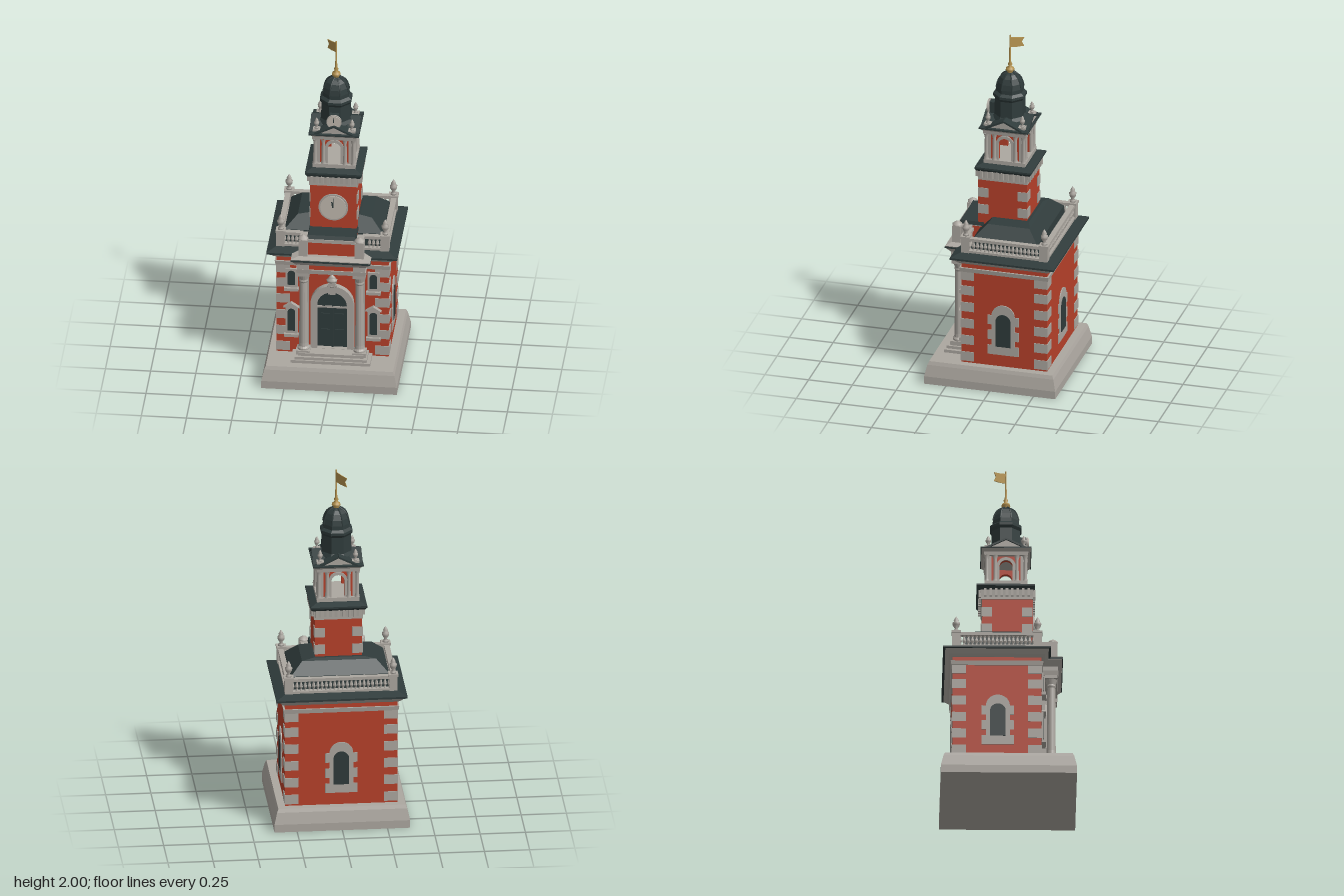
import * as THREE from 'three';

const mat = (name, color, side = THREE.FrontSide) => {
  const m = new THREE.MeshStandardMaterial({ color, side });
  m.name = name;
  return m;
};

export function createModel() {
  const brick = mat('brick', 0xb8412a), stone = mat('stone', 0xaca7a0), slate = mat('slate', 0x2f3b3b);
  const gold = mat('gold', 0xb5934f, THREE.DoubleSide), dial = mat('dial', 0xc2bab0);
  const root = new THREE.Group();
  root.name = 'clockTower';

  const part = (name, geo, m, x = 0, y = 0, z = 0, parent = root) => {
    const mesh = new THREE.Mesh(geo, m);
    mesh.name = name;
    mesh.position.set(x, y, z);
    parent.add(mesh);
    return mesh;
  };
  // box given by centre x, bottom y, top y, centre z
  const box = (name, m, w, y0, y1, d, x = 0, z = 0, parent = root) =>
    part(name, new THREE.BoxGeometry(w, y1 - y0, d), m, x, (y0 + y1) / 2, z, parent);
  const group = (name, x = 0, y = 0, z = 0, parent = root) => {
    const g = new THREE.Group();
    g.name = name;
    g.position.set(x, y, z);
    parent.add(g);
    return g;
  };
  // rectangular cross-sections [y, halfX, zBack, zFront] joined into a solid
  const stack = (name, m, rows) => {
    const p = [];
    const ring = rows.map(([y, h, b, f]) => [[h, y, f], [h, y, b], [-h, y, b], [-h, y, f]]);
    const quad = (a, b, c, d) => p.push(...a, ...b, ...c, ...a, ...c, ...d);
    for (let i = 0; i < ring.length - 1; i++)
      for (let k = 0; k < 4; k++) {
        const n = (k + 1) % 4;
        quad(ring[i][k], ring[i][n], ring[i + 1][n], ring[i + 1][k]);
      }
    const t = ring[ring.length - 1], u = ring[0];
    quad(t[0], t[1], t[2], t[3]);
    quad(u[3], u[2], u[1], u[0]);
    const g = new THREE.BufferGeometry();
    g.setAttribute('position', new THREE.Float32BufferAttribute(p, 3));
    g.computeVertexNormals();
    return part(name, g, m);
  };
  const lathe = (pts, n = 12, start = 0) =>
    new THREE.LatheGeometry(pts.map(([r, y]) => new THREE.Vector2(r, y)), n, start);
  const faceted = (g) => { const f = g.toNonIndexed(); f.computeVertexNormals(); return f; };
  const trace = (s, hw, y0, top) => {
    s.moveTo(-hw, y0); s.lineTo(hw, y0); s.lineTo(hw, top - hw);
    s.absarc(0, top - hw, hw, 0, Math.PI, false);
    s.lineTo(-hw, y0);
    return s;
  };
  const arch = (hw, y0, top) => trace(new THREE.Shape(), hw, y0, top);
  const rect = (hw, y0, y1) => new THREE.Shape([[-hw, y0], [hw, y0], [hw, y1], [-hw, y1]].map(q => new THREE.Vector2(...q)));
  const cut = (s, hw, y0, top) => { s.holes.push(trace(new THREE.Path(), hw, y0, top)); return s; };
  const slab = (s, depth) => new THREE.ExtrudeGeometry(s, { depth, bevelEnabled: false, curveSegments: 12 });
  const triangle = (hw, y0, y1) => new THREE.Shape([new THREE.Vector2(-hw, y0), new THREE.Vector2(hw, y0), new THREE.Vector2(0, y1)]);

  const urnGeo = lathe([[0, 0], [.018, 0], [.016, .012], [.007, .02], [.02, .042], [.022, .058], [.012, .066], [.015, .074], [.007, .09], [0, .1]], 10);
  const urn = (x, y, z, s = 1) => part('urn', urnGeo, stone, x, y, z).scale.setScalar(s);
  const quoins = (hx, zb, zf, ys, h, size) => {
    for (const y of ys) for (const sx of [-1, 1]) for (const front of [0, 1])
      box('quoin', stone, size, y, y + h, size, sx * (hx - size / 2 + .004),
        front ? zf - size / 2 + .004 : zb + size / 2 - .004);
  };

  // plinth and brick body
  stack('plinth', stone, [[0, .375, -.375, .375], [.045, .375, -.375, .375], [.11, .36, -.36, .36], [.13, .352, -.352, .352]]);
  stack('body', brick, [[.13, .31, -.31, .18], [.74, .31, -.31, .18]]);
  quoins(.31, -.31, .18, [.14, .24, .34, .44, .54, .63], .055, .078);
  stack('band', stone, [[.68, .316, -.316, .186], [.705, .32, -.32, .19]]);
  stack('cornice', stone, [[.73, .315, -.315, .185], [.742, .33, -.33, .2], [.765, .35, -.35, .22]]);
  stack('eaves', slate, [[.765, .362, -.362, .232], [.776, .362, -.362, .232], [.795, .31, -.31, .18]]);

  // arched windows with blocked surrounds on both sides and the back
  [[.31, -.06, Math.PI / 2], [-.31, -.06, -Math.PI / 2], [0, -.31, Math.PI]].forEach(([x, z, r]) => {
    const g = group('archedWindow', x, 0, z);
    g.rotation.y = r;
    part('surround', slab(arch(.066, .2, .5), .006), stone, 0, 0, 0, g);
    for (const y of [.2, .29, .38]) box('surroundBlock', stone, .178, y, y + .055, .01, 0, 0, g);
    part('pane', slab(arch(.043, .25, .445), .009), slate, 0, 0, 0, g);
  });

  // narrow front windows
  for (const sx of [-1, 1]) {
    const g = group('frontWindows', sx * .227, 0, .18);
    for (const [y0, y1] of [[.25, .42], [.54, .66]]) {
      part('frame', slab(rect(.034, y0, y1), .012), stone, 0, 0, 0, g);
      part('pane', slab(arch(.021, y0 + .02, y1 - .012), .015), slate, 0, 0, 0, g);
      box('sill', stone, .08, y0 - .015, y0 + .003, .03, 0, .01, g);
    }
    part('windowPediment', slab(triangle(.045, .42, .45), .025), stone, 0, 0, 0, g);
  }

  // entrance steps, door and arch
  box('step', stone, .44, .13, .147, .14, 0, .235);
  box('step', stone, .4, .147, .163, .12, 0, .235);
  box('step', stone, .36, .163, .18, .11, 0, .225);
  part('doorArch', slab(cut(arch(.12, .18, .575), .082, .181, .535), .035), stone, 0, 0, .18);
  part('door', slab(arch(.083, .18, .536), .008), slate, 0, 0, .18);
  box('doorRail', stone, .166, .425, .437, .006, 0, .189);
  for (const sx of [-1, 1]) for (const y of [.21, .31])
    box('doorPanel', slate, .05, y, y + .08, .008, sx * .038, .19);
  box('doorSplit', slate, .01, .18, .425, .012, 0, .19);
  for (const a of [-.045, 0, .045]) box('fanBar', slate, .006, .437, .52, .012, a, .188);
  box('keystone', stone, .04, .53, .6, .05, 0, .205);
  part('crest', urnGeo, stone, 0, .575, .215).scale.set(1.4, .75, 1);

  // portico columns and pilasters
  const column = lathe([[0, .18], [.034, .18], [.034, .2], [.027, .21], [.025, .23], [.022, .61], [.026, .62], [.024, .63], [.035, .668], [.035, .68], [0, .68]], 16);
  for (const sx of [-1, 1]) {
    part('column', faceted(column), stone, sx * .155, 0, .236);
    box('columnBase', stone, .075, .165, .19, .075, sx * .155, .236);
    box('capital', stone, .07, .66, .682, .07, sx * .155, .236);
    box('pilaster', stone, .05, .17, .68, .03, sx * .155, .185);
    box('friezeBlock', stone, .065, .7, .74, .096, sx * .155, .226);
  }
  stack('porticoBeam', stone, [[.68, .19, .17, .272], [.705, .194, .17, .275]]);
  stack('porticoFrieze', brick, [[.705, .185, .17, .268], [.74, .185, .17, .268]]);
  stack('porticoCornice', stone, [[.733, .19, .17, .272], [.762, .215, .17, .295], [.778, .22, .17, .298], [.788, .18, .17, .27]]);
  box('porticoEdge', slate, .44, .764, .774, .1, 0, .25);

  // attic over the portico
  stack('attic', brick, [[.78, .135, .1, .245], [.88, .135, .1, .245]]);
  box('atticBand', stone, .27, .865, .885, .13, 0, .185);
  stack('atticRoof', slate, [[.885, .136, .1, .245], [.905, .13, .1, .235]]);
  for (const sx of [-1, 1]) {
    box('atticPier', stone, .042, .78, .885, .1, sx * .156, .215);
    box('atticPedestal', stone, .05, .78, .885, .05, sx * .156, .245);
    part('atticKnob', lathe([[.028, 0], [.028, .008], [.015, .018], [0, .026]], 8), stone, sx * .156, .885, .245);
  }

  // balustrade
  const baluster = faceted(lathe([[.008, 0], [.005, .012], [.011, .027], [.005, .05], [.009, .06]], 6));
  const balustrade = (x0, z0, x1, z1) => {
    const len = Math.hypot(x1 - x0, z1 - z0), cx = (x0 + x1) / 2, cz = (z0 + z1) / 2;
    const w = Math.abs(x1 - x0) + .03, d = Math.abs(z1 - z0) + .03;
    box('bottomRail', stone, w, .785, .808, d, cx, cz);
    box('topRail', stone, w, .865, .882, d, cx, cz);
    const n = Math.round(len / .023);
    for (let i = 1; i < n; i++)
      part('baluster', baluster, stone, x0 + (x1 - x0) * i / n, .806, z0 + (z1 - z0) * i / n);
  };
  balustrade(-.29, -.293, .29, -.293);
  for (const sx of [-1, 1]) {
    balustrade(sx * .293, -.29, sx * .293, .16);
    balustrade(sx * .18, .163, sx * .29, .163);
    for (const z of [-.289, .159]) {
      box('pedestal', stone, .046, .785, .885, .046, sx * .289, z);
      box('pedestalCap', stone, .054, .878, .892, .054, sx * .289, z);
      urn(sx * .289, .89, z, .95);
    }
  }

  // hipped main roof
  stack('mainRoof', slate, [[.785, .28, -.25, .13], [.87, .272, -.243, .123], [.935, .205, -.18, .06], [.945, .14, -.16, .05]]);

  // clock stage
  stack('clockStage', brick, [[.86, .13, -.145, .13], [1.18, .13, -.145, .13]]);
  quoins(.13, -.145, .13, [.96, 1.06], .055, .058);
  box('clockPanel', brick, .255, .905, 1.165, .02, 0, .127);
  const clock = (y, z, r) => {
    const g = group('clock', 0, y, z);
    const disc = (name, rad, m, d) => part(name, new THREE.CylinderGeometry(rad, rad, d, 32), m, 0, 0, d / 2, g).rotation.x = Math.PI / 2;
    disc('clockRim', r, stone, .01);
    disc('clockFace', r * .88, dial, .014);
    box('minuteHand', slate, r * .06, 0, r * .7, .004, 0, .014, g);
    box('hourHand', slate, r * .1, 0, r * .45, .004, -r * .06, .014, g).rotation.z = .15;
  };
  clock(1.035, .134, .082);
  stack('clockFrieze', stone, [[1.165, .135, -.15, .135], [1.18, .135, -.15, .135], [1.225, .138, -.153, .138]]);
  for (let i = 0; i < 9; i++) {
    const t = -.12 + i * .03;
    for (const z of [-.155, .14]) box('bracket', stone, .014, 1.18, 1.225, .018, t, z);
    for (const x of [-.14, .14]) box('bracket', stone, .018, 1.18, 1.225, .014, x, t - .0075);
  }
  stack('clockCornice', slate, [[1.222, .145, -.162, .142], [1.238, .157, -.175, .147], [1.248, .157, -.175, .147], [1.262, .12, -.138, .11]]);

  // open belfry: four arched walls, columns and small pediments
  const zc = -.012;
  stack('belfryBase', stone, [[1.25, .118, zc - .118, zc + .118], [1.285, .118, zc - .118, zc + .118]]);
  const wall = slab(cut(rect(.1, 1.28, 1.445), .036, 1.281, 1.415), .02);
  const trim = slab(cut(arch(.052, 1.28, 1.432), .036, 1.281, 1.415), .008);
  const post = lathe([[.015, 1.285], [.011, 1.3], [.009, 1.415], [.016, 1.44]], 10);
  for (let k = 0; k < 4; k++) {
    const g = group('belfrySide', 0, 0, zc);
    g.rotation.y = k * Math.PI / 2;
    part('belfryWall', wall, brick, 0, 0, .08, g);
    part('archTrim', trim, stone, 0, 0, .1, g);
    for (const x of [-.06, .06]) part('belfryColumn', post, stone, x, 0, .106, g);
    part('cornerColumn', post, stone, .106, 0, .106, g);
    box('cornerPier', stone, .024, 1.28, 1.445, .024, .092, .092, g);
    part('pediment', slab(triangle(.1, 1.478, 1.528), .05), stone, 0, 0, .078, g);
    for (const s of [-1, 1]) {
      const r = box('pedimentRoof', slate, .118, 1.501, 1.511, .075, s * .053, .1, g);
      r.rotation.z = -s * .46;
    }
  }
  stack('belfryEntablature', stone, [[1.44, .12, zc - .12, zc + .12], [1.46, .122, zc - .122, zc + .122], [1.475, .137, zc - .137, zc + .137]]);
  stack('belfryRoof', slate, [[1.474, .14, zc - .14, zc + .14], [1.482, .14, zc - .14, zc + .14], [1.492, .1, zc - .1, zc + .1]]);
  for (const x of [-.098, .098]) for (const z of [-.098, .098]) {
    box('urnBlock', stone, .04, 1.475, 1.5, .04, x, zc + z);
    urn(x, 1.498, zc + z, .68);
  }

  // octagonal drum, ribbed dome and upper clock
  const dome = [[.104, 1.485], [.1, 1.51], [.088, 1.53], [.084, 1.625], [.094, 1.64], [.094, 1.655], [.078, 1.668], [.077, 1.69], [.07, 1.72], [.056, 1.75], [.036, 1.768], [.02, 1.776], [0, 1.778]];
  part('dome', faceted(lathe(dome, 8, Math.PI / 8)), slate, 0, 0, zc);
  for (let k = 0; k < 8; k++) {
    const a = (k + .5) * Math.PI / 4;
    const pts = dome.slice(7, 12).map(([r, y]) => new THREE.Vector3(r * Math.sin(a), y, r * Math.cos(a)));
    part('domeRib', new THREE.TubeGeometry(new THREE.CatmullRomCurve3(pts), 8, .004, 5), slate, 0, 0, zc);
  }
  box('clockMount', slate, .05, 1.52, 1.59, .04, 0, .08);
  clock(1.555, .1, .042);

  // gilded finial, pole and flag
  part('finial', lathe([[.02, 1.77], [.014, 1.778], [.025, 1.79], [.022, 1.802], [.008, 1.812], [.013, 1.825], [.006, 1.838], [.005, 1.9], [.004, 2], [0, 2]], 14), gold, 0, 0, zc);
  const banner = new THREE.Shape([[0, 1.93], [.04, 1.922], [.085, 1.92], [.07, 1.948], [.085, 1.972], [.045, 1.978], [0, 1.988]].map(q => new THREE.Vector2(...q)));
  part('flag', slab(banner, .004), gold, 0, 0, zc).rotation.y = 2.28;

  return root;
}
